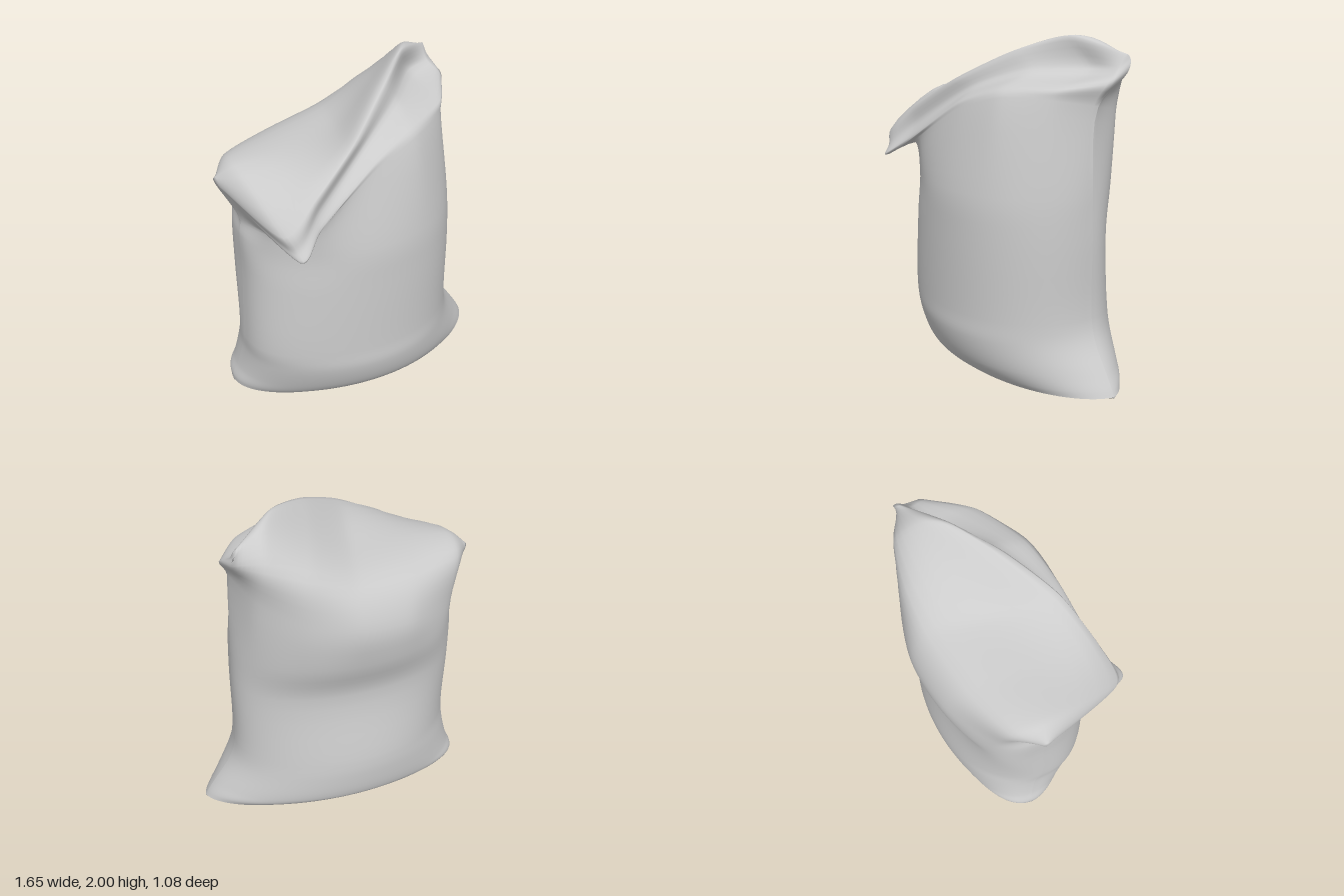
import * as THREE from 'three';

const COLS = 48, STEPS = 5;

// Sack rings: y, left x, right x, left seam z, front z, back z,
// then how pinched the corners are: front left, front right, back left, back right
const RINGS = [
  [0.01, -0.80, 0.82, -0.08, 0.30, -0.40, 0.5, 0.62, 0.42, 0.6],
  [0.05, -0.80, 0.80, -0.08, 0.35, -0.45, 0.5, 0.66, 0.42, 0.62],
  [0.13, -0.77, 0.75, -0.07, 0.41, -0.48, 0.45, 0.68, 0.44, 0.6],
  [0.29, -0.74, 0.65, -0.04, 0.46, -0.50, 0.39, 0.57, 0.5, 0.52],
  [0.42, -0.74, 0.615, 0, 0.46, -0.495, 0.38, 0.5, 0.55, 0.46],
  [0.88, -0.72, 0.61, 0, 0.46, -0.435, 0.42, 0.48, 0.3, 0.46],
  [1.14, -0.72, 0.605, 0, 0.45, -0.51, 0.48, 0.5, 0.38, 0.5],
];

// Rails of the folded top, each running left to right, ordered from front to back
const RAILS = {
  neck: [[-0.71, 1.24, 0], [-0.62, 1.28, 0.26], [-0.4, 1.36, 0.41], [-0.05, 1.58, 0.36],
    [0.24, 1.68, 0.28], [0.49, 1.68, 0.1], [0.6, 1.64, -0.13]],
  hem: [[-0.77, 1.42, 0.03], [-0.57, 1.25, 0.53], [-0.41, 1.36, 0.45], [-0.05, 1.62, 0.35],
    [0.22, 1.725, 0.25], [0.5, 1.74, 0.07], [0.65, 1.765, -0.18]],
  groove: [[-0.79, 1.45, 0.01], [-0.59, 1.3, 0.49], [-0.4, 1.46, 0.41], [-0.05, 1.70, 0.25],
    [0.22, 1.81, 0.06], [0.44, 1.82, -0.2], [0.61, 1.83, -0.26]],
  ridge: [[-0.81, 1.48, -0.01], [-0.63, 1.38, 0.45], [-0.42, 1.55, 0.42], [-0.15, 1.74, 0.3],
    [0.12, 1.91, 0.09], [0.35, 1.995, -0.12], [0.6, 1.91, -0.33]],
  panel: [[-0.83, 1.52, -0.05], [-0.72, 1.6, 0.01], [-0.44, 1.63, 0.04], [-0.12, 1.69, -0.02],
    [0.15, 1.85, -0.14], [0.41, 1.98, -0.25], [0.61, 1.88, -0.35]],
  crease: [[-0.82, 1.48, -0.06], [-0.71, 1.55, -0.21], [-0.4, 1.57, -0.34], [-0.05, 1.61, -0.42],
    [0.22, 1.71, -0.44], [0.46, 1.8, -0.41], [0.62, 1.81, -0.32]],
  shoulder: [[-0.71, 1.24, 0], [-0.66, 1.31, -0.27], [-0.37, 1.36, -0.47], [-0.05, 1.4, -0.535],
    [0.26, 1.45, -0.48], [0.5, 1.58, -0.35], [0.6, 1.64, -0.13]],
};

// One side of a ring, as a function of s = 0 (left seam) .. 1 (right seam)
function ringSide([y, xL, xR, seamL, zF, zB, ...pinch], front) {
  const [pinchL, pinchR] = front ? pinch : pinch.slice(2);
  return (s) => {
    const t = -Math.cos(Math.PI * s);
    const bulge = Math.pow(Math.max(0, 1 - t * t), THREE.MathUtils.lerp(pinchL, pinchR, s));
    const seam = THREE.MathUtils.lerp(seamL, -0.1, s);
    const x = (xL + xR) / 2 + t * (xR - xL) / 2;
    const z = seam * (1 - bulge) + (front ? zF : zB) * bulge;
    const lift = !front && y < 0.1 ? 0.04 * bulge : 0;
    return new THREE.Vector3(x, y + lift, z);
  };
}

function railSide(points) {
  const vectors = points.map((p) => new THREE.Vector3(...p));
  const curve = new THREE.CatmullRomCurve3(vectors, false, 'catmullrom', 0.35);
  return (s) => curve.getPoint(s);
}

// Grid of quads over columns of points; closeEnds zips each end column shut, front to back
function skin(columns, closeEnds) {
  const n = columns[0].length, last = columns.length - 1, index = [];
  for (let c = 0; c < last; c++) {
    for (let r = 0; r < n - 1; r++) {
      const a = c * n + r, b = a + n;
      index.push(a, b, b + 1, a, b + 1, a + 1);
    }
  }
  if (closeEnds) {
    for (let r = 0; r < (n - 1) / 2; r++) {
      const a = r, b = n - 1 - r, k = last * n;
      index.push(a, a + 1, b - 1, a, b - 1, b);
      index.push(k + a, k + b, k + b - 1, k + a, k + b - 1, k + a + 1);
    }
  }
  const geometry = new THREE.BufferGeometry().setFromPoints(columns.flat());
  geometry.setIndex(index);
  geometry.computeVertexNormals();
  return geometry;
}

export function createModel() {
  const group = new THREE.Group();
  group.name = 'sack';
  const material = new THREE.MeshStandardMaterial({ color: 0xcccccc, side: THREE.DoubleSide });
  const add = (name, geometry) => {
    const mesh = new THREE.Mesh(geometry, material);
    mesh.name = name;
    group.add(mesh);
  };

  // Profile order: up the front, over the folded top, down the back
  const sides = [
    ...RINGS.map((ring) => ringSide(ring, true)),
    ...Object.values(RAILS).map(railSide),
    ...[...RINGS].reverse().map((ring) => ringSide(ring, false)),
  ];
  const columns = [];
  for (let c = 0; c <= COLS; c++) {
    const profile = new THREE.CatmullRomCurve3(sides.map((side) => side(c / COLS)));
    columns.push(profile.getPoints((sides.length - 1) * STEPS));
  }

  // Cloth body with its folded-over mouth
  add('clothBody', skin(columns, true));

  // Flat base with a hard edge
  add('base', skin(columns.map((col) => {
    const front = col[0], back = col[col.length - 1];
    const middle = front.clone().lerp(back, 0.6).setY(0);
    return [back.clone(), middle, front.clone()];
  }), false));

  return group;
}
